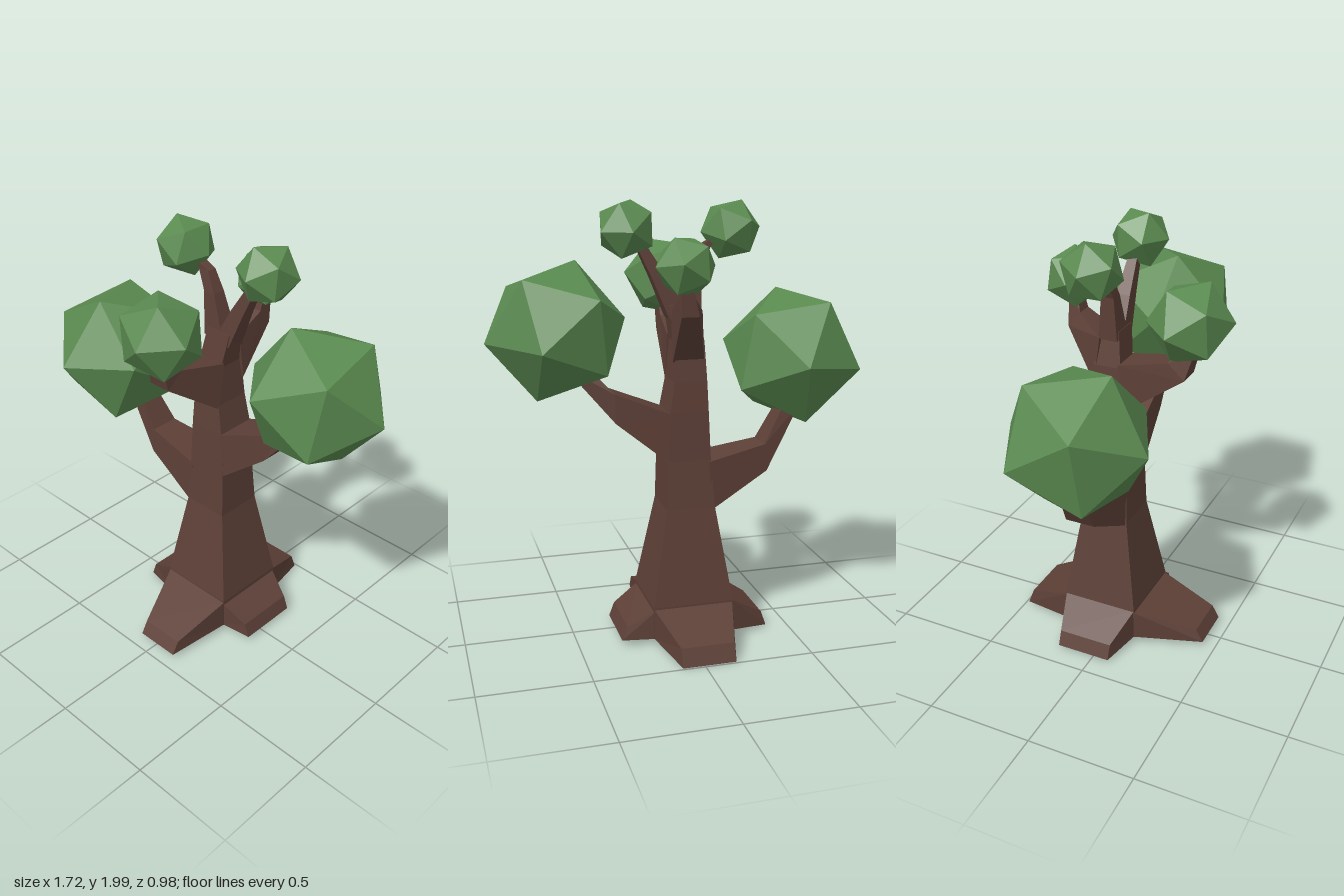
import * as THREE from 'three';

const bark = new THREE.MeshStandardMaterial({ color: 0x5d4037, flatShading: true });
const leaf = new THREE.MeshStandardMaterial({ color: 0x5a8a50, flatShading: true });

// Skin through four-cornered sections, with both ends capped
function loft(name, rings) {
  const v = rings.flat().map((p) => new THREE.Vector3(...p));
  const tris = [];
  const quad = (a, b, c, d) => tris.push([a, b, c], [a, c, d]);
  for (let r = 0; r < rings.length - 1; r++) {
    for (let i = 0; i < 4; i++) {
      const a = r * 4 + i, b = r * 4 + (i + 1) % 4;
      quad(a, b, b + 4, a + 4);
    }
  }
  const e = v.length - 4;
  quad(3, 2, 1, 0);
  quad(e, e + 1, e + 2, e + 3);
  // turn the faces outward whichever way the sections run
  const origin = v[0];
  let volume = 0;
  for (const t of tris) {
    const [a, b, c] = t.map((i) => v[i].clone().sub(origin));
    volume += a.dot(b.cross(c));
  }
  const pos = tris.flatMap((t) => (volume < 0 ? [t[0], t[2], t[1]] : t).flatMap((i) => v[i].toArray()));
  const g = new THREE.BufferGeometry();
  g.setAttribute('position', new THREE.Float32BufferAttribute(pos, 3));
  g.computeVertexNormals();
  const mesh = new THREE.Mesh(g, bark);
  mesh.name = name;
  return mesh;
}

// Horizontal section: height, x range, z range
const level = ([y, x0, x1, z0, z1]) => [[x0, y, z0], [x1, y, z0], [x1, y, z1], [x0, y, z1]];

// Limb section along an axis: lower point (u, y), upper point (u, y), sideways range
const limbSection = (axis) => ([ua, ya, ub, yb, lo, hi]) => {
  const at = (u, y, w) => (axis === 'x' ? [u, y, w] : [w, y, u]);
  return [at(ua, ya, lo), at(ua, ya, hi), at(ub, yb, hi), at(ub, yb, lo)];
};
const limb = (name, axis, sections) => loft(name, sections.map(limbSection(axis)));

// Twenty-sided leaf ball, turned so one vertex lies along p and its neighbour towards q
function leafBall(name, centre, radius, p, q) {
  const basis = (a, b) => {
    const x = new THREE.Vector3(...a).normalize();
    const z = x.clone().cross(new THREE.Vector3(...b)).normalize();
    return new THREE.Matrix4().makeBasis(x, z.clone().cross(x), z);
  };
  const t = (1 + Math.sqrt(5)) / 2;
  const g = new THREE.IcosahedronGeometry(radius, 0);
  g.applyMatrix4(basis(p, q).multiply(basis([-1, t, 0], [1, t, 0]).invert()));
  const mesh = new THREE.Mesh(g, leaf);
  mesh.name = name;
  mesh.position.set(...centre);
  return mesh;
}

export function createModel() {
  const tree = new THREE.Group();
  tree.name = 'tree';

  // Square, tapering trunk
  tree.add(loft('trunk', [
    [0.03, -0.21, 0.165, -0.235, 0.13],
    [0.18, -0.21, 0.165, -0.235, 0.13],
    [0.62, -0.14, 0.085, -0.17, 0.058],
    [0.84, -0.125, 0.08, -0.15, 0.05],
    [1.06, -0.115, 0.065, -0.145, 0.045],
    [1.2, -0.11, 0.04, -0.135, 0.035],
    [1.38, -0.1, 0.03, -0.12, 0.01],
    [1.54, -0.07, 0.06, -0.1, -0.01],
  ].map(level)));

  // Spreading roots
  tree.add(
    limb('leftRoot', 'x', [[0.15, 0.03, 0.15, 0.17, -0.235, 0.13], [0.305, 0.02, 0.28, 0.085, -0.19, 0.1]]),
    limb('rightRoot', 'x', [[-0.2, 0.03, -0.2, 0.185, -0.235, 0.13], [-0.395, 0.01, -0.37, 0.08, -0.18, 0.08]]),
    limb('frontRoot', 'z', [[0.12, 0.03, 0.12, 0.175, -0.21, 0.165], [0.44, 0.02, 0.405, 0.08, -0.09, 0.125]]),
    limb('backRoot', 'z', [[-0.225, 0.03, -0.225, 0.175, -0.21, 0.165], [-0.49, 0.0, -0.46, 0.08, -0.145, 0.1]]),
  );

  // Bent branches: joint, elbow, tip inside the leaves
  tree.add(
    limb('rightBranch', 'x', [
      [-0.135, 0.605, -0.115, 0.83, -0.16, 0.052],
      [-0.41, 0.753, -0.40, 0.88, -0.11, 0.03],
      [-0.58, 1.05, -0.51, 1.07, -0.07, 0.02],
    ]),
    limb('leftBranch', 'x', [
      [0.075, 0.84, 0.06, 1.06, -0.15, 0.048],
      [0.305, 1.025, 0.31, 1.16, -0.12, 0.03],
      [0.52, 1.28, 0.45, 1.31, -0.07, 0.01],
    ]),
    limb('frontBranch', 'z', [
      [0.03, 1.18, 0.0, 1.4, -0.11, 0.04],
      [0.31, 1.38, 0.235, 1.45, -0.1, 0.01],
      [0.35, 1.53, 0.29, 1.55, -0.07, 0.01],
    ]),
    limb('backBranch', 'z', [
      [-0.12, 1.29, -0.09, 1.51, -0.1, 0.045],
      [-0.28, 1.51, -0.22, 1.58, -0.03, 0.05],
      [-0.29, 1.67, -0.25, 1.68, 0.01, 0.05],
    ]),
  );

  // Forked twigs at the crown
  tree.add(
    loft('rightTwig', [
      [1.5, -0.09, 0.02, -0.1, -0.01],
      [1.7, -0.1, -0.04, -0.08, -0.02],
      [1.79, -0.14, -0.085, -0.075, -0.03],
      [1.83, -0.21, -0.16, -0.07, -0.03],
    ].map(level)),
    loft('leftTwig', [
      [1.48, -0.04, 0.055, -0.1, -0.01],
      [1.66, 0.06, 0.13, -0.085, -0.02],
      [1.83, 0.17, 0.21, -0.07, -0.03],
    ].map(level)),
  );

  // Leaf balls
  tree.add(
    leafBall('rightLeaves', [-0.577, 1.27, 0.047], 0.335, [-0.037, 0.01, 0.333], [0.027, 0.3, 0.143]),
    leafBall('leftLeaves', [0.545, 1.438, -0.02], 0.32, [0.313, -0.04, -0.035], [0.11, -0.055, -0.29]),
    leafBall('frontLeaves', [-0.03, 1.625, 0.305], 0.192, [0.185, 0.02, 0.04], [0.05, 0.01, 0.185]),
    leafBall('backLeaves', [0.03, 1.725, -0.27], 0.138, [0.13, 0, -0.02], [0.06, 0.12, -0.03]),
    leafBall('topRightLeaves', [-0.237, 1.862, -0.05], 0.138, [-0.135, 0.01, 0], [-0.06, 0.12, 0]),
    leafBall('topLeftLeaves', [0.235, 1.87, -0.05], 0.138, [0, 0.008, 0.135], [-0.035, 0.13, 0.06]),
  );
  return tree;
}
